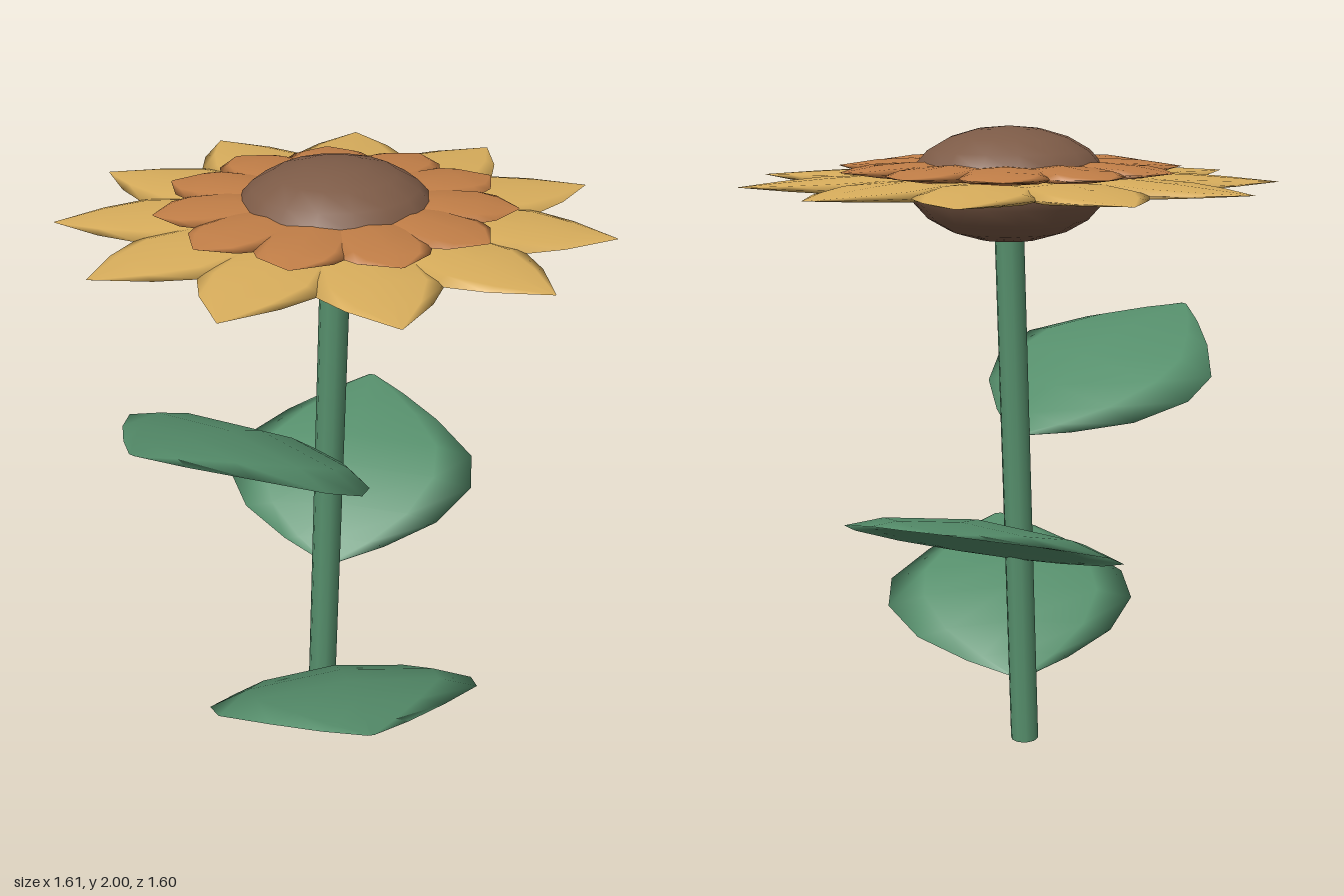
import * as THREE from 'three';

const mat = (color) => new THREE.MeshStandardMaterial({ color });

// Lens-shaped blade along +z: rows are [distance, halfWidth, thickness factor]
function bladeGeometry(rows, thickness, arch = 0, droop = 0) {
  const sides = 8, pos = [], idx = [];
  const start = rows[0][0], length = rows[rows.length - 1][0] - start;
  rows.forEach(([z, half, f]) => {
    const rise = arch * Math.sin(Math.PI * (z - start) / length);
    for (let j = 0; j < sides; j++) {
      const a = (j / sides) * Math.PI * 2, c = Math.cos(a);
      const sag = droop * c * c * f;
      pos.push(half * c, rise - sag + thickness * f * Math.sin(a), z);
    }
  });
  for (let i = 0; i < rows.length - 1; i++) {
    for (let j = 0; j < sides; j++) {
      const k = (j + 1) % sides;
      const a = i * sides + j, b = i * sides + k;
      idx.push(a, b, b + sides, a, b + sides, a + sides);
    }
  }
  const g = new THREE.BufferGeometry();
  g.setAttribute('position', new THREE.Float32BufferAttribute(pos, 3));
  g.setIndex(idx);
  g.computeVertexNormals();
  return g;
}

export function createModel() {
  const model = new THREE.Group();
  const green = mat(0x568f6c);

  // Slightly leaning stem
  const from = new THREE.Vector3(-0.053, 0, -0.012), to = new THREE.Vector3(0, 1.72, -0.012);
  const stemGeo = new THREE.CylinderGeometry(0.046, 0.046, from.distanceTo(to), 10);
  const stem = new THREE.Mesh(stemGeo, green);
  stem.name = 'stem';
  stem.position.lerpVectors(from, to, 0.5);
  stem.quaternion.setFromUnitVectors(new THREE.Vector3(0, 1, 0), to.clone().sub(from).normalize());
  model.add(stem);

  // Seed head
  const head = new THREE.Mesh(new THREE.SphereGeometry(1, 16, 10), mat(0x7d5b47));
  head.name = 'seedHead';
  head.scale.set(0.305, 0.173, 0.3);
  head.position.set(0, 1.827, -0.015);
  model.add(head);

  // Two rings of eleven petals
  const ring = (name, geometry, material, y, offset) => {
    const group = new THREE.Group();
    group.name = name;
    group.position.set(0, y, -0.012);
    for (let i = 0; i < 11; i++) {
      const petal = new THREE.Mesh(geometry, material);
      petal.name = 'petal';
      petal.rotation.y = offset + (i / 11) * Math.PI * 2;
      group.add(petal);
    }
    model.add(group);
  };
  const outer = bladeGeometry([
    [0.1, 0.01, 0], [0.25, 0.11, 0.8], [0.4, 0.165, 1], [0.55, 0.185, 0.75], [0.68, 0.115, 0.4], [0.815, 0.002, 0],
  ], 0.027);
  ring('outerPetals', outer, mat(0xd9ae5c), 1.835, 0);
  const inner = bladeGeometry([
    [0.06, 0.01, 0], [0.18, 0.09, 0.8], [0.3, 0.13, 1], [0.41, 0.135, 0.75], [0.465, 0.105, 0.4], [0.53, 0.005, 0],
  ], 0.025);
  ring('innerPetals', inner, mat(0xc17e47), 1.876, 0.136);

  // Three broad leaves: base, tip, roll about the midrib
  const leafProfile = [
    [0, 0.02, 0], [0.1, 0.17, 0.4], [0.24, 0.33, 0.8], [0.42, 0.425, 1],
    [0.58, 0.41, 0.9], [0.76, 0.27, 0.6], [0.9, 0.13, 0.3], [1, 0.01, 0],
  ];
  const leaves = [
    ['lowerLeaf', [-0.04, 0.21, 0], [-0.055, 0.54, 0.765], 0],
    ['middleLeaf', [-0.02, 0.63, -0.02], [0.28, 0.955, -0.725], -0.03],
    ['upperLeaf', [-0.02, 1.04, 0], [-0.665, 1.37, 0.46], 0.05],
  ];
  for (const [name, base, tip, roll] of leaves) {
    const a = new THREE.Vector3(...base), b = new THREE.Vector3(...tip);
    const length = a.distanceTo(b);
    const rows = leafProfile.map(([t, w, f]) => [t * length, w, f]);
    const leaf = new THREE.Mesh(bladeGeometry(rows, 0.028, 0.055, 0.045), green);
    leaf.name = name;
    leaf.position.copy(a);
    leaf.lookAt(b);
    leaf.rotateZ(roll);
    model.add(leaf);
  }
  return model;
}
